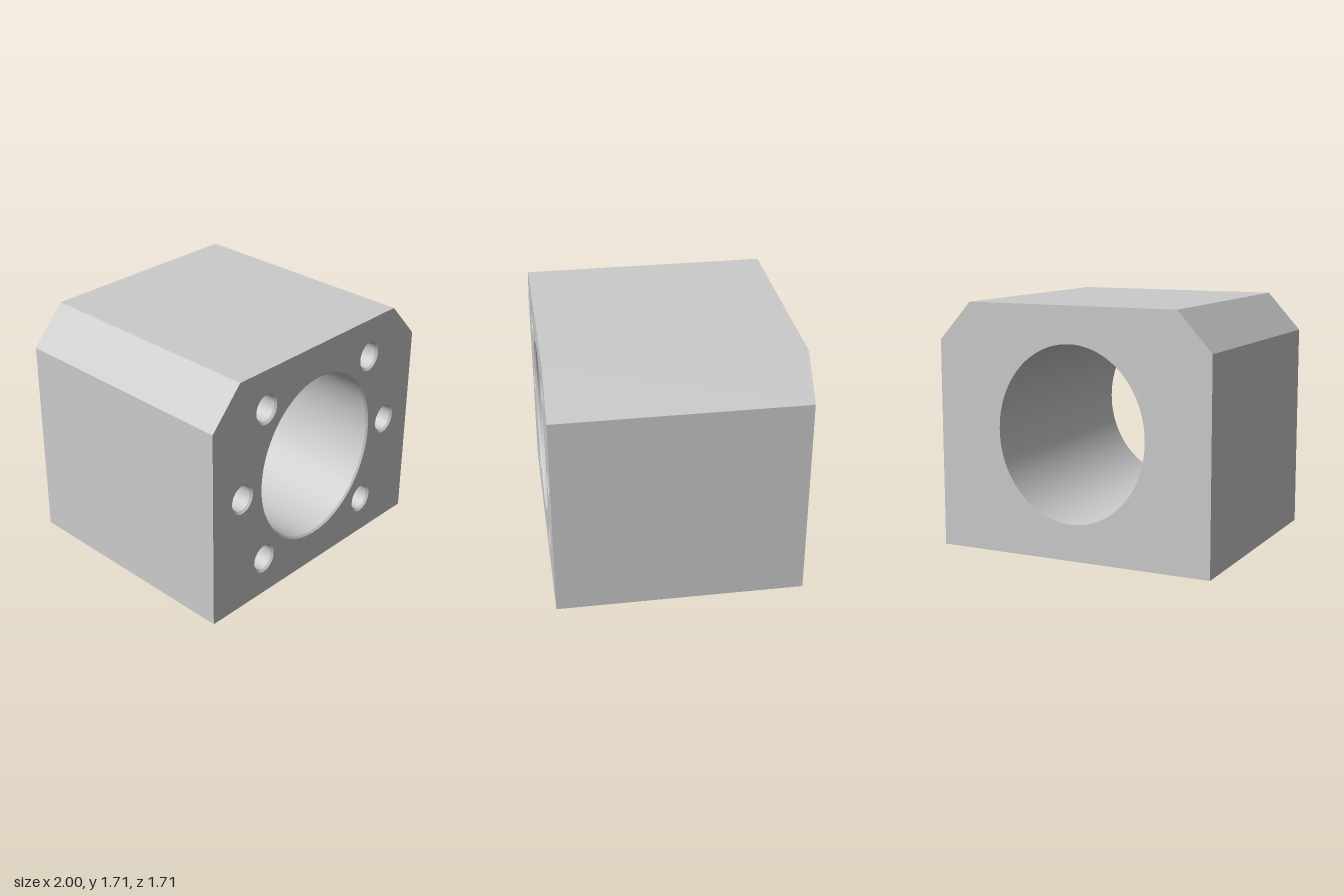
import * as THREE from 'three';
import { toCreasedNormals } from 'three/addons/utils/BufferGeometryUtils.js';

const D = 0.853;          // half depth
const H = 1.71;           // height
const CY = H / 2;         // bore centre height
const K = 1.115;          // vertical stretch of the bore and bolt holes
const SEG = 96;

export function createModel() {
  const group = new THREE.Group();
  const material = new THREE.MeshStandardMaterial({ color: 0xcccccc });
  const add = (name, geometry) => {
    const mesh = new THREE.Mesh(geometry, material);
    mesh.name = name;
    group.add(mesh);
    return mesh;
  };

  // Flat plate with elliptical holes [x, y, rx, ry]
  const plate = (points, holes) => {
    const shape = new THREE.Shape(points.map(([x, y]) => new THREE.Vector2(x, y)));
    for (const [x, y, rx, ry] of holes) {
      shape.holes.push(new THREE.Path().absellipse(x, y, rx, ry, 0, Math.PI * 2, true));
    }
    return new THREE.ShapeGeometry(shape, SEG / 2);
  };

  // Inward-facing wall of a hole, profile runs from the mouth (y = 0) downwards
  const cavity = (profile, angleX, stretch) => {
    const geometry = new THREE.LatheGeometry(profile.map(([r, y]) => new THREE.Vector2(r, y)), SEG);
    geometry.rotateX(angleX).scale(1, stretch, 1);
    return toCreasedNormals(geometry, 0.5);
  };

  const outline = [[1, 0], [1, 1.445], [0.76, H], [-0.76, H], [-1, 1.445], [-1, 0]];
  const boltHoles = [
    [0.732, CY], [0.516, CY + 0.575], [-0.516, CY + 0.575],
    [-0.732, CY], [-0.516, CY - 0.575], [0.516, CY - 0.575],
  ];
  const mountHoles = [[0.77, 0.51], [-0.77, 0.51], [-0.77, -0.51], [0.77, -0.51]];
  const boreMouth = 0.553, bore = 0.541, boltMouth = 0.097, mountRadius = 0.088;

  // Front and back faces
  add('frontFace', plate(outline, [
    [0, CY, boreMouth, boreMouth * K],
    ...boltHoles.map(([x, y]) => [x, y, boltMouth, boltMouth * K]),
  ]).translate(0, 0, D));
  add('backFace', plate(outline, [[0, CY, bore, bore * K]]).rotateY(Math.PI).translate(0, 0, -D));

  // Bottom face
  add('bottomFace', plate([[1, D], [-1, D], [-1, -D], [1, -D]],
    mountHoles.map(([x, z]) => [x, z, mountRadius, mountRadius])).rotateX(Math.PI / 2));

  // Side walls, sloped shoulders and top
  const wallNames = ['leftWall', 'leftShoulder', 'topFace', 'rightShoulder', 'rightWall'];
  wallNames.forEach((name, i) => {
    const [ax, ay] = outline[i], [bx, by] = outline[i + 1];
    add(name, new THREE.PlaneGeometry(Math.hypot(bx - ax, by - ay), 2 * D)
      .rotateX(-Math.PI / 2)
      .rotateZ(Math.atan2(by - ay, bx - ax) + Math.PI)
      .translate((ax + bx) / 2, (ay + by) / 2, 0));
  });

  // Through bore with a chamfered front edge
  add('bore', cavity([[boreMouth, 0], [bore, -0.013], [bore, -2 * D]], Math.PI / 2, K))
    .position.set(0, CY, D);

  // Blind bolt holes with chamfered mouths and drill-point ends
  const bolt = cavity([[boltMouth, 0], [0.083, -0.015], [0.083, -0.36], [0, -0.41]], Math.PI / 2, K);
  for (const [x, y] of boltHoles) add('boltHole', bolt).position.set(x, y, D);

  // Blind mounting holes in the underside
  const mount = cavity([[mountRadius, 0], [mountRadius, -0.36], [0, -0.41]], Math.PI, 1);
  for (const [x, z] of mountHoles) add('mountingHole', mount).position.set(x, 0, z);

  return group;
}
